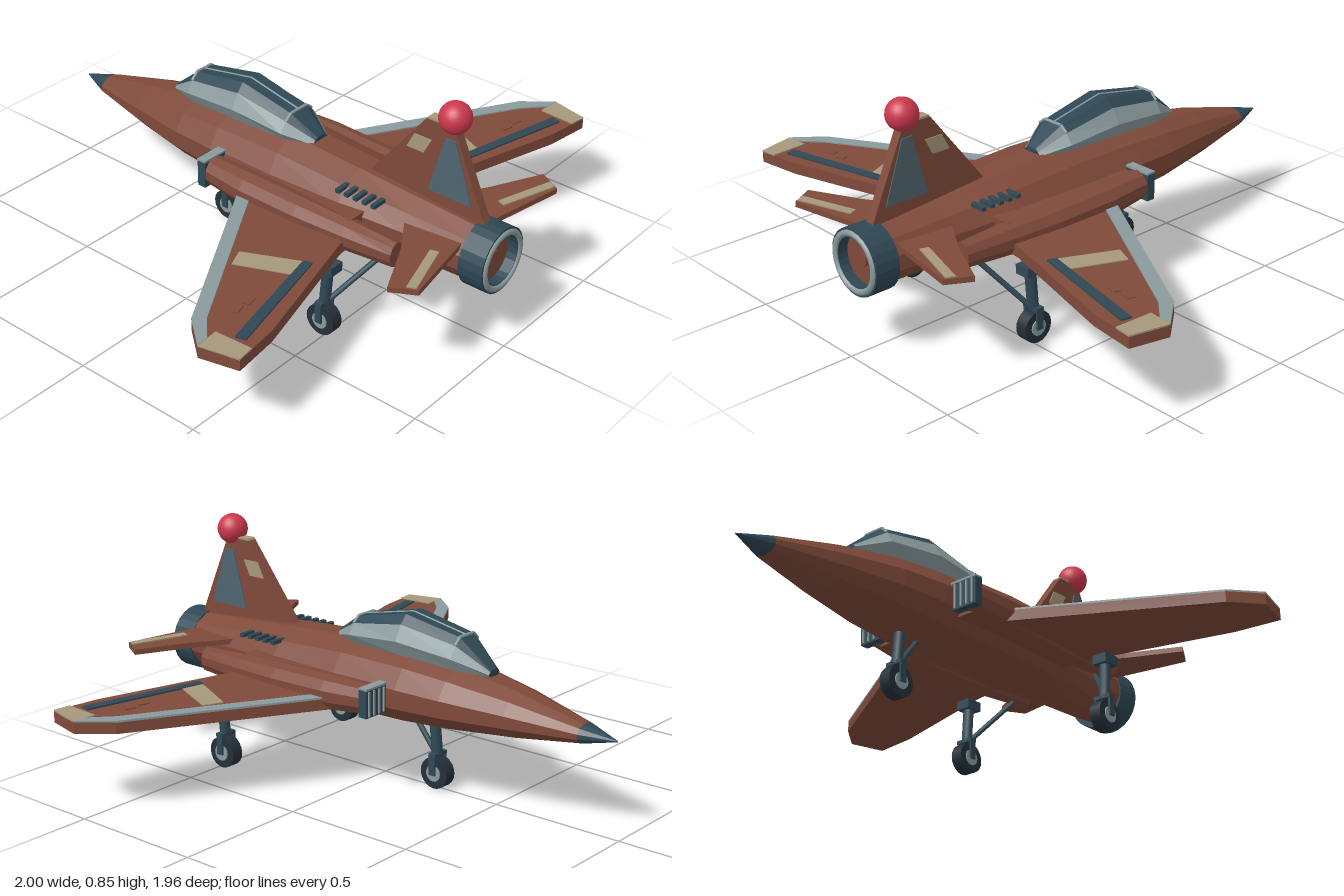
import * as THREE from 'three';

const mat = (name, color) => {
  const m = new THREE.MeshStandardMaterial({ color });
  m.name = name;
  return m;
};

export function createModel() {
  const brown = mat('brownPaint', 0x7f4a3a);
  const navy = mat('darkBlue', 0x2f4855);
  const grey = mat('paleGrey', 0x8a9b9d);
  const tan = mat('tan', 0xa6987a);
  const slate = mat('slateBlue', 0x50656f);
  const rubber = mat('rubber', 0x24303a);
  const red = mat('red', 0xcc384c);

  const model = new THREE.Group();
  model.name = 'jet';
  const add = (name, geo, material, parent = model) => {
    const m = new THREE.Mesh(geo, material);
    m.name = name;
    parent.add(m);
    return m;
  };
  const box = (name, w, h, d, x, y, z, material) =>
    add(name, new THREE.BoxGeometry(w, h, d).translate(x, y, z), material);

  // Faceted skin through rings ordered towards +z, each counter-clockwise seen from +z
  const loft = (rings, closed = true) => {
    const p = [];
    const tri = (a, b, c) => p.push(...a, ...b, ...c);
    const n = rings[0].length;
    for (let k = 0; k + 1 < rings.length; k++) {
      for (let i = 0; i < (closed ? n : n - 1); i++) {
        const j = (i + 1) % n, a = rings[k], b = rings[k + 1];
        tri(a[i], a[j], b[j]);
        tri(a[i], b[j], b[i]);
      }
    }
    if (closed) {
      const f = rings[0], e = rings[rings.length - 1];
      for (let i = 1; i + 1 < n; i++) {
        tri(f[0], f[i + 1], f[i]);
        tri(e[0], e[i], e[i + 1]);
      }
    }
    const g = new THREE.BufferGeometry();
    g.setAttribute('position', new THREE.Float32BufferAttribute(p, 3));
    g.computeVertexNormals();
    return g;
  };
  // Ring from [z, centre x, half width, bottom, top, height of widest point]
  const ring = ([z, cx, w, y0, y1, ym = (y0 + y1) / 2], n = 12) =>
    Array.from({ length: n }, (_, i) => {
      const t = ((i + 0.5) / n) * Math.PI * 2, s = Math.sin(t);
      const k = 1 / Math.cos(Math.PI / n);
      return [cx + w * k * Math.cos(t), ym + (s > 0 ? y1 - ym : ym - y0) * s, z];
    });
  const shape = (pts) => new THREE.Shape(pts.map(([a, b]) => new THREE.Vector2(a, b)));
  const extrude = (pts, depth) => new THREE.ExtrudeGeometry(shape(pts), { depth, bevelEnabled: false });
  // Horizontal slab from [x, z] corners; vertical slab from [z, y] corners
  const slab = (pts, y0, y1, s = 1) =>
    extrude(pts.map(([x, z]) => [s * x, -z]), y1 - y0).rotateX(-Math.PI / 2).translate(0, y0, 0);
  const upright = (pts, t) => extrude(pts, t).rotateY(-Math.PI / 2).translate(t / 2, 0, 0);
  const beam = (name, a, b, r, material, sides = 8) => {
    const A = new THREE.Vector3(...a), B = new THREE.Vector3(...b);
    const m = add(name, new THREE.CylinderGeometry(r, r, A.distanceTo(B), sides), material);
    m.position.copy(A).add(B).multiplyScalar(0.5);
    m.quaternion.setFromUnitVectors(new THREE.Vector3(0, 1, 0), B.sub(A).normalize());
  };

  // Fuselage and nose cone
  const joint = [-0.855, 0, 0.052, 0.312, 0.382, 0.345];
  add('noseCone', loft([[-0.98, 0, 0.002, 0.343, 0.347], joint].map((r) => ring(r))), navy);
  add('fuselage', loft([
    joint,
    [-0.6, 0, 0.112, 0.275, 0.445, 0.352],
    [-0.36, 0, 0.158, 0.25, 0.487, 0.355],
    [-0.18, 0, 0.172, 0.237, 0.505, 0.355],
    [0.1, 0, 0.175, 0.23, 0.51, 0.355],
    [0.4, 0, 0.168, 0.235, 0.49, 0.35],
    [0.65, 0, 0.135, 0.24, 0.468, 0.345],
    [0.89, 0, 0.113, 0.237, 0.45, 0.34],
  ].map((r) => ring(r))), brown);

  // Canopy: pale side panes, dark roof panes, pale frame
  const stations = [[-0.48, 0.3, 0.465, 0.49], [-0.36, 0.85, 0.475, 0.588], [-0.13, 1, 0.485, 0.63],
    [0.09, 0.92, 0.485, 0.583], [0.19, 0.4, 0.48, 0.515]];
  const pane = (profile) => loft(stations.map(([z, k, y0, y1]) =>
    profile.map(([x, f]) => [x * k, y0 + (y1 - y0) * f, z])), false);
  const roof = [[0.075, 0.78], [0.045, 1], [-0.045, 1], [-0.075, 0.78]];
  add('canopyRoof', pane(roof), navy);
  add('canopyLeft', pane([[0.075, 0], [0.105, 0.4], [0.075, 0.78]]), grey);
  add('canopyRight', pane([[-0.075, 0.78], [-0.105, 0.4], [-0.075, 0]]), grey);
  const endCap = (st) => {
    const [z, k, y0, y1] = st;
    return [[0.075, 0], [0.105, 0.4], ...roof, [-0.105, 0.4], [-0.075, 0]]
      .map(([x, f]) => [x * k, y0 + (y1 - y0) * f, z]);
  };
  for (const i of [0, 4]) {
    const r = endCap(stations[i]);
    add('canopyEnd', loft([r, r.map(([x, y, z]) => [x, y, z + 0.002])]), navy);
  }
  for (const [z, k, y0, y1] of [stations[1], stations[3]]) {
    const p = roof.map(([x, f]) => [x * k, y0 + (y1 - y0) * f, z]);
    for (let i = 0; i < 3; i++) beam('canopyFrame', p[i], p[i + 1], 0.006, grey, 6);
  }
  for (let i = 1; i < 3; i++) {
    beam('canopyRidge', [0, stations[i][3], stations[i][0]], [0, stations[i + 1][3], stations[i + 1][0]], 0.004, grey, 6);
  }

  // Exhaust nozzle
  const turned = (pts) => new THREE.LatheGeometry(pts.map(([r, z]) => new THREE.Vector2(r, z)), 24)
    .toNonIndexed().rotateX(Math.PI / 2).translate(0, 0.335, 0);
  const nozzle = turned([[0.09, 0.873], [0.12, 0.873], [0.12, 0.968], [0.088, 0.968], [0.088, 0.9]]);
  nozzle.computeVertexNormals();
  add('nozzle', nozzle, navy).material.side = THREE.DoubleSide;
  add('nozzleRing', new THREE.TorusGeometry(0.102, 0.013, 8, 24).translate(0, 0.335, 0.964), grey);
  const disc = (r, z0, z1) => new THREE.CylinderGeometry(r, r, z1 - z0, 20)
    .rotateX(Math.PI / 2).translate(0, 0.335, (z0 + z1) / 2);
  add('exhaustPlate', disc(0.092, 0.89, 0.93), brown);
  add('exhaustCore', disc(0.025, 0.93, 0.94), brown);

  // Tail fin with panels and beacon ball
  add('fin', upright([[0.42, 0.47], [0.65, 0.765], [0.76, 0.765], [0.905, 0.44]], 0.036), brown);
  add('finCap', upright([[0.65, 0.764], [0.655, 0.772], [0.757, 0.772], [0.76, 0.764]], 0.037), tan);
  add('rudderPanel', upright([[0.845, 0.5], [0.77, 0.72], [0.73, 0.72], [0.67, 0.5]], 0.044), slate);
  add('finPatch', upright([[0.675, 0.69], [0.605, 0.69], [0.575, 0.632], [0.645, 0.632]], 0.044), tan);
  add('beacon', new THREE.SphereGeometry(0.057, 24, 16).translate(0, 0.795, 0.75), red);

  // Wheel with hub and fork at x, z
  const wheel = (x, z) => {
    const tyre = (r, w) => new THREE.CylinderGeometry(r, r, w, 20).rotateZ(Math.PI / 2).translate(x, 0.058, z);
    add('tyre', tyre(0.058, 0.046), rubber);
    add('hub', tyre(0.03, 0.056), grey);
    for (const s of [-1, 1]) box('fork', 0.008, 0.075, 0.026, x + s * 0.031, 0.09, z, navy);
    box('forkCrown', 0.07, 0.014, 0.03, x, 0.127, z, navy);
  };

  for (const s of [1, -1]) {
    // Side pod, intake and grille
    add('sidePod', loft([
      [-0.115, 0.222, 0.05, 0.305, 0.412],
      [0.06, 0.226, 0.06, 0.285, 0.415],
      [0.3, 0.222, 0.06, 0.28, 0.41],
      [0.5, 0.215, 0.05, 0.285, 0.4],
      [0.69, 0.21, 0.034, 0.295, 0.39],
    ].map(([z, cx, ...r]) => ring([z, s * cx, ...r], 10))), brown);
    box('podShoulder', 0.1, 0.1, 0.6, s * 0.17, 0.35, 0.2, brown);
    box('intake', 0.106, 0.1, 0.034, s * 0.222, 0.357, -0.125, navy);
    box('intakeLip', 0.11, 0.008, 0.036, s * 0.22, 0.41, -0.126, grey);
    for (let i = 0; i < 4; i++) box('grilleBar', 0.007, 0.09, 0.006, s * (0.183 + i * 0.026), 0.357, -0.144, grey);

    // Wing with painted panels
    add('wing', slab([[0.2, 0], [0.285, 0.05], [0.91, 0.42], [1, 0.53], [0.965, 0.672], [0.79, 0.65],
      [0.285, 0.51], [0.2, 0.5]], 0.3, 0.342, s), brown);
    const paint = (name, pts, material, h = 0.347) => add(name, slab(pts, 0.34, h, s), material);
    paint('leadingEdge', [[0.275, 0.044], [0.91, 0.42], [1, 0.53], [0.95, 0.525], [0.875, 0.455], [0.275, 0.1]], grey);
    paint('wingTip', [[0.91, 0.522], [1, 0.53], [0.965, 0.672], [0.9, 0.664]], tan, 0.346);
    paint('wingBand', [[0.535, 0.285], [0.605, 0.315], [0.515, 0.52], [0.43, 0.505]].reverse(), tan, 0.345);
    paint('flap', [[0.44, 0.482], [0.89, 0.585], [0.88, 0.622], [0.43, 0.514]], navy, 0.348);
    for (const x of [0.72, 0.78]) {
      paint('hatch', [[x - 0.015, 0.475], [x + 0.025, 0.485], [x + 0.015, 0.51], [x - 0.025, 0.5]], brown, 0.346);
    }

    // Tailplane
    add('tailplane', slab([[0.06, 0.62], [0.11, 0.645], [0.25, 0.735], [0.445, 0.83], [0.395, 0.918],
      [0.1, 0.865], [0.06, 0.86]], 0.385, 0.405, s), brown);
    add('tailplaneStripe', slab([[0.195, 0.812], [0.41, 0.878], [0.395, 0.908], [0.185, 0.842]], 0.404, 0.41, s), tan);

    // Cooling louvres
    for (let i = 0; i < 5; i++) box('louvre', 0.06, 0.014, 0.017, s * 0.137, 0.45, 0.4 + i * 0.038, navy);

    // Main landing gear
    wheel(s * 0.33, 0.485);
    box('gearMount', 0.06, 0.035, 0.07, s * 0.33, 0.275, 0.5, navy);
    beam('mainStrut', [s * 0.33, 0.28, 0.5], [s * 0.33, 0.125, 0.487], 0.02, navy, 10);
    beam('mainBrace', [s * 0.2, 0.29, 0.61], [s * 0.325, 0.135, 0.5], 0.01, navy);
  }

  // Nose landing gear
  wheel(0, -0.24);
  beam('noseStrut', [0, 0.26, -0.225], [0, 0.125, -0.239], 0.02, navy, 10);
  beam('noseBrace', [0, 0.255, -0.13], [0, 0.135, -0.225], 0.01, navy);

  return model;
}
